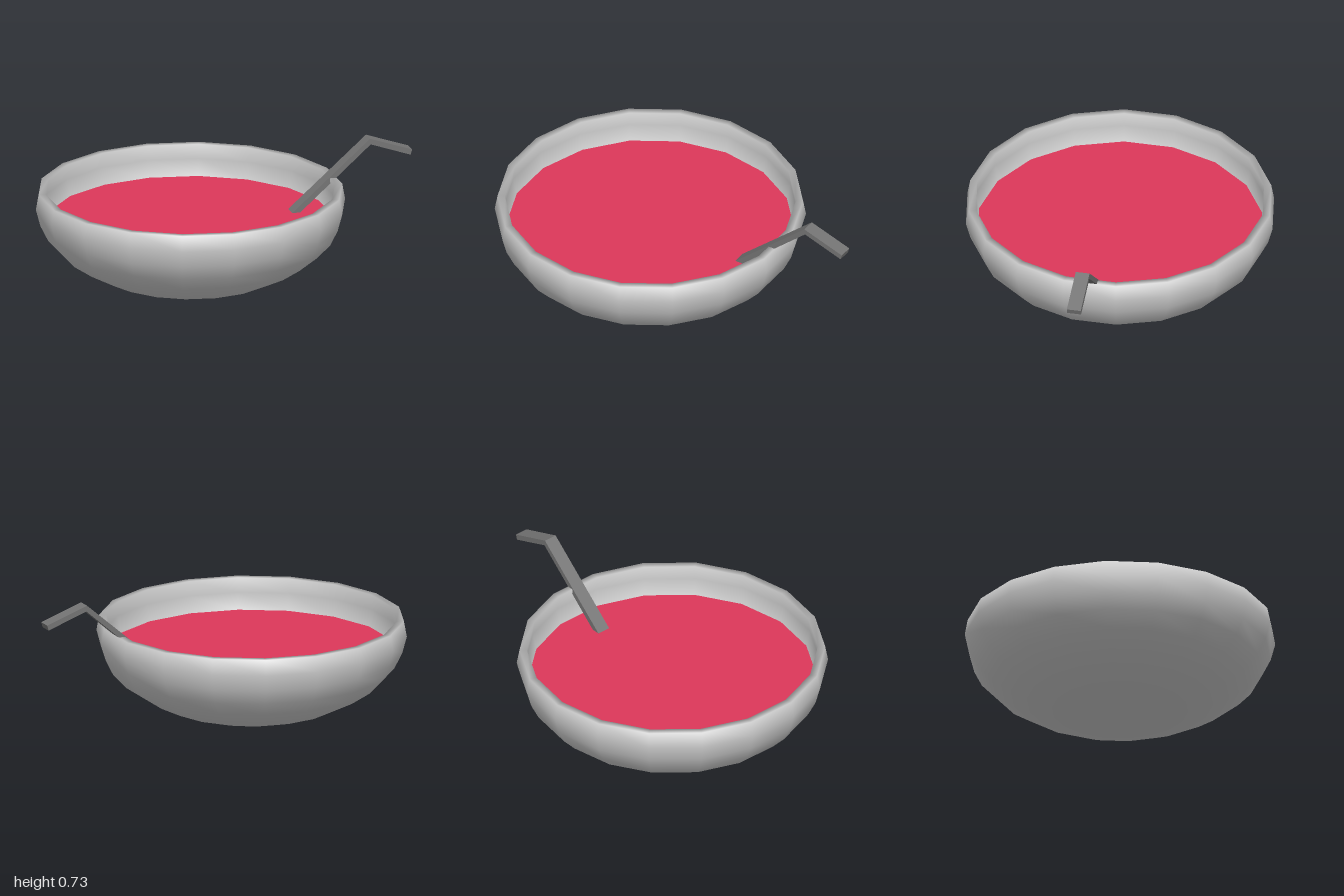
import * as THREE from 'three';

const SIDES = 18;
const CENTRE_X = -0.2;

// Outer wall from the base up, over the rim, then down the inner wall
const BOWL_PROFILE = [
  [0, 0], [0.157, 0.01], [0.31, 0.036], [0.456, 0.08], [0.576, 0.139],
  [0.679, 0.208], [0.749, 0.283], [0.789, 0.364], [0.813, 0.454], [0.798, 0.537],
  [0.76, 0.537], [0.77, 0.454], [0.75, 0.364], [0.71, 0.3], [0.64, 0.23],
  [0.54, 0.165], [0.42, 0.11], [0.29, 0.07], [0.15, 0.048], [0, 0.042],
];

// Side outline of the bent strip: upper edge out to the tip, lower edge back
const SPOON_OUTLINE = [
  [0.2, 0.24], [0.768, 0.733], [0.998, 0.653], [0.99, 0.625], [0.772, 0.702], [0.225, 0.222],
];

function addMesh(group, name, geometry, material) {
  const mesh = new THREE.Mesh(geometry, material);
  mesh.name = name;
  group.add(mesh);
  return mesh;
}

export function createModel() {
  const model = new THREE.Group();
  model.name = 'soupBowlWithSpoon';
  const grey = new THREE.MeshStandardMaterial({ color: 0xcccccc });
  const darkGrey = new THREE.MeshStandardMaterial({ color: 0x747474 });
  const red = new THREE.MeshStandardMaterial({ color: 0xdd385a });

  // Bowl with a thick wall
  const profile = BOWL_PROFILE.map(([r, y]) => new THREE.Vector2(r, y));
  addMesh(model, 'bowl', new THREE.LatheGeometry(profile, SIDES), grey).position.x = CENTRE_X;

  // Soup surface, its corners lined up with those of the bowl
  const soupGeometry = new THREE.CircleGeometry(0.755, SIDES, Math.PI / 2);
  soupGeometry.rotateX(-Math.PI / 2);
  addMesh(model, 'soup', soupGeometry, red).position.set(CENTRE_X, 0.365, 0);

  // Spoon handle leaning over the rim, its lower end in the soup
  const width = 0.074;
  const outline = new THREE.Shape(SPOON_OUTLINE.map(([x, y]) => new THREE.Vector2(x, y)));
  const spoonGeometry = new THREE.ExtrudeGeometry(outline, { depth: width, bevelEnabled: false });
  addMesh(model, 'spoonHandle', spoonGeometry, darkGrey).position.z = -width / 2;

  return model;
}
